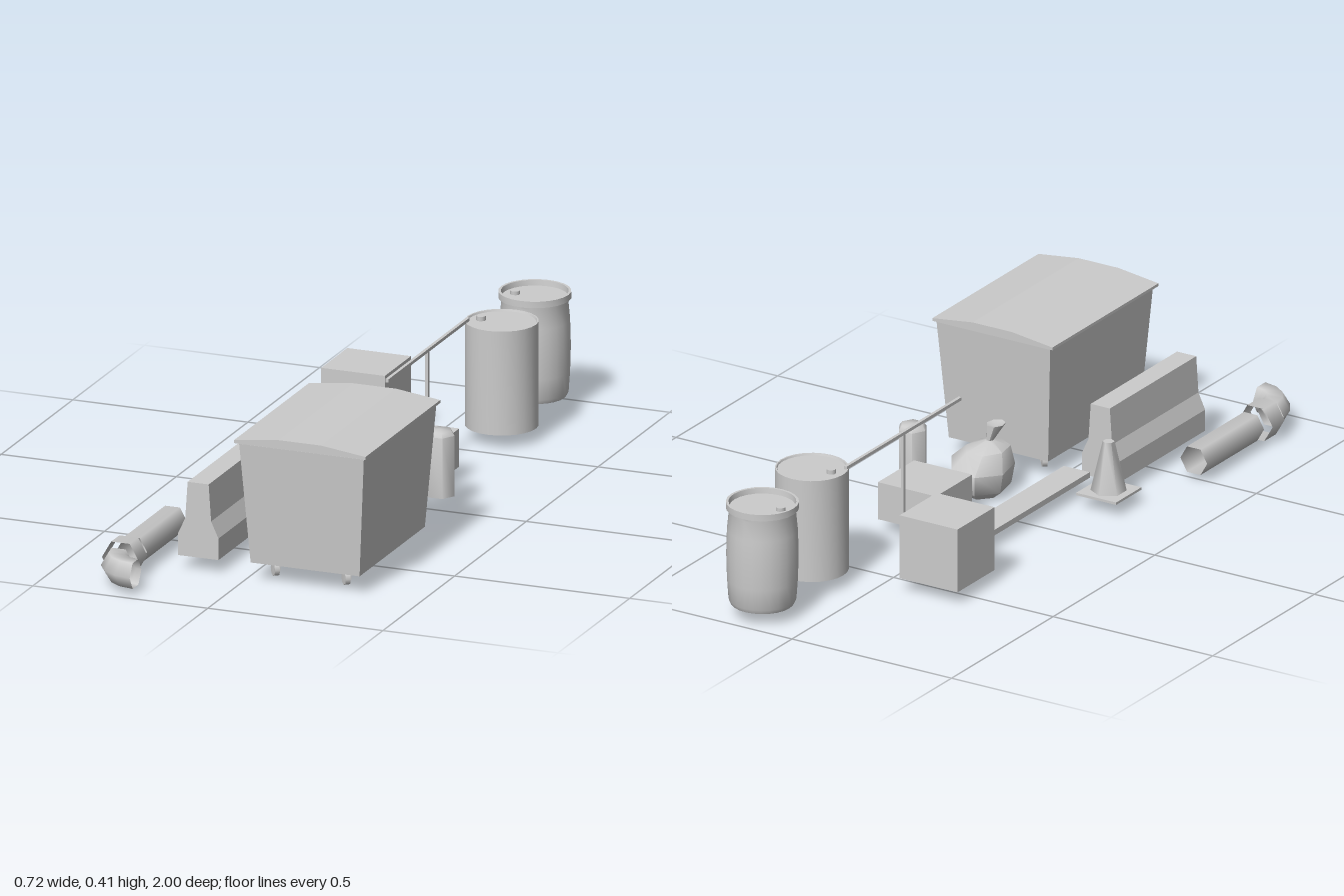
import * as THREE from 'three';
import { toCreasedNormals } from 'three/addons/utils/BufferGeometryUtils.js';

const solid = new THREE.MeshStandardMaterial({ color: 0xcccccc });
const open = new THREE.MeshStandardMaterial({ color: 0xcccccc, side: THREE.DoubleSide });
const GROUND = 0.037;

export function createModel() {
  const model = new THREE.Group();

  const add = (name, geo, x = 0, y = 0, z = 0, mat = solid, parent = model) => {
    const mesh = new THREE.Mesh(geo, mat);
    mesh.name = name;
    mesh.position.set(x, y, z);
    parent.add(mesh);
    return mesh;
  };
  // box given by its limits on each axis
  const block = (name, x0, x1, y0, y1, z0, z1) =>
    add(name, new THREE.BoxGeometry(x1 - x0, y1 - y0, z1 - z0), (x0 + x1) / 2, (y0 + y1) / 2, (z0 + z1) / 2);
  // turned shape with sharp edges kept
  const turned = (profile, sides, start = 0, crease = 1.1) =>
    toCreasedNormals(new THREE.LatheGeometry(profile.map(([r, y]) => new THREE.Vector2(r, y)), sides, start), crease);
  // profile in x and y, extruded along z
  const extruded = (points, depth) =>
    new THREE.ExtrudeGeometry(new THREE.Shape(points.map(([x, y]) => new THREE.Vector2(x, y))), { depth, bevelEnabled: false });

  // dumpster: tapered bin, arched lid and four swivelled casters
  const bin = new THREE.BoxGeometry(0.356, 0.335, 0.506);
  const bp = bin.attributes.position;
  for (let i = 0; i < bp.count; i++) {
    if (bp.getY(i) < 0) bp.setXYZ(i, bp.getX(i) * 0.874, bp.getY(i), bp.getZ(i) * 0.9);
  }
  bin.computeVertexNormals();
  add('dumpsterBody', bin, 0.172, 0.2185, 0.514);
  add('dumpsterLid', extruded([[-0.188, 0.389], [0.188, 0.389], [0.188, 0.397], [0.062, 0.413], [-0.062, 0.413], [-0.188, 0.397]], 0.522),
    0.17, 0, 0.253);
  for (const x of [0.066, 0.268]) {
    for (const z of [0.345, 0.69]) {
      const caster = new THREE.Group();
      caster.name = 'caster';
      caster.position.set(x, 0, z);
      caster.rotation.y = 0.7;
      model.add(caster);
      add('casterWheel', new THREE.CylinderGeometry(0.019, 0.019, 0.014, 8).rotateZ(Math.PI / 2), 0, 0.024, 0, solid, caster);
      add('casterFork', new THREE.BoxGeometry(0.022, 0.032, 0.012), 0, 0.037, 0.004, solid, caster);
    }
  }

  // concrete barrier, open underneath
  const half = [[0.058, 0], [0.058, 0.06], [0.037, 0.105], [0.03, 0.207]];
  const barrier = extruded([...half, ...half.map(([x, y]) => [-x, y]).reverse()], 0.425).toNonIndexed();
  const pos = barrier.attributes.position;
  const kept = [];
  for (let i = 0; i < pos.count; i += 3) {
    const onFloor = [0, 1, 2].every(k => pos.getY(i + k) < 0.001);
    if (!onFloor) for (let k = 0; k < 3; k++) kept.push(pos.getX(i + k), pos.getY(i + k), pos.getZ(i + k));
  }
  const shell = new THREE.BufferGeometry();
  shell.setAttribute('position', new THREE.Float32BufferAttribute(kept, 3));
  shell.computeVertexNormals();
  add('concreteBarrier', shell, -0.144, GROUND, 0.291, open);

  // traffic cone
  block('coneBase', -0.277, -0.152, GROUND, 0.044, 0.16, 0.285);
  add('trafficCone', turned([[0.048, 0.044], [0.016, 0.184], [0, 0.184]], 6), -0.214, 0, 0.222);

  // drain pipe: straight run, collar and elbow
  const tube = (r, length) => new THREE.CylinderGeometry(r, r, length, 6, 1, true, Math.PI / 2).rotateX(Math.PI / 2);
  add('pipe', tube(0.042, 0.28), -0.309, 0.054, 0.632, open);
  add('pipeCollar', tube(0.053, 0.058), -0.309, 0.054, 0.826, open);
  add('pipeElbow', new THREE.TorusGeometry(0.082, 0.041, 6, 4, Math.PI / 2).rotateX(Math.PI / 2).rotateY(-Math.PI / 2),
    -0.225, 0.054, 0.873, open);

  // parking kerb and crates
  block('kerb', -0.118, -0.037, GROUND, 0.053, -0.305, 0.28);
  block('largeCrate', -0.245, -0.063, GROUND, 0.217, -0.57, -0.388);
  block('smallCrate', 0.02, 0.202, GROUND, 0.143, -0.26, -0.082);

  // bollard
  add('bollard', turned([[0, 0], [0.041, 0], [0.041, 0.168], [0.032, 0.18], [0, 0.182]], 6, Math.PI / 2), 0.245, GROUND, -0.022);

  // gate: bar, post and foot plate
  block('gateBar', 0.083, 0.092, 0.325, 0.334, -0.6, -0.035);
  block('gatePost', 0.083, 0.092, GROUND, 0.325, -0.32, -0.31);
  block('footPlate', 0.078, 0.115, GROUND, 0.052, -0.062, 0.012);

  // rubbish bag: turned shape, squeezed and leaning, with a tied neck
  const bag = new THREE.LatheGeometry([[0, 0.006], [0.06, 0.006], [0.092, 0.03], [0.101, 0.085], [0.07, 0.127], [0.012, 0.147], [0.03, 0.19], [0, 0.182]]
    .map(([r, y]) => new THREE.Vector2(r, y)), 7);
  const gp = bag.attributes.position;
  for (let i = 0; i < gp.count; i++) {
    const x = gp.getX(i), y = gp.getY(i);
    const lean = Math.max(0, y - 0.08) * 0.35;
    const sag = y < 0.1 ? x * 0.1 : 0;
    gp.setXYZ(i, x * 0.82 - lean * 0.6, Math.max(0, y + sag), gp.getZ(i) + lean);
  }
  add('rubbishBag', toCreasedNormals(bag, 0.9), 0.118, 0, 0.115, open);

  // drums: a straight one, and a bulged one with a raised rim
  const bung = (x, y, z) => add('drumBung', new THREE.CylinderGeometry(0.013, 0.013, 0.012, 10), x, y, z);
  add('steelDrum', turned([[0, 0], [0.098, 0], [0.098, 0.289], [0.094, 0.289], [0.092, 0.284], [0, 0.284]], 24), 0.17, GROUND, -0.635);
  bung(0.112, 0.327, -0.631);
  add('plasticDrum', turned([[0, 0], [0.084, 0], [0.09, 0.012], [0.094, 0.07], [0.096, 0.14], [0.094, 0.21], [0.089, 0.262], [0.09, 0.269],
    [0.097, 0.271], [0.097, 0.289], [0.09, 0.289], [0.088, 0.274], [0, 0.274]], 24, 0, 0.6), 0.155, GROUND, -0.902);
  bung(0.1, 0.315, -0.898);

  return model;
}
